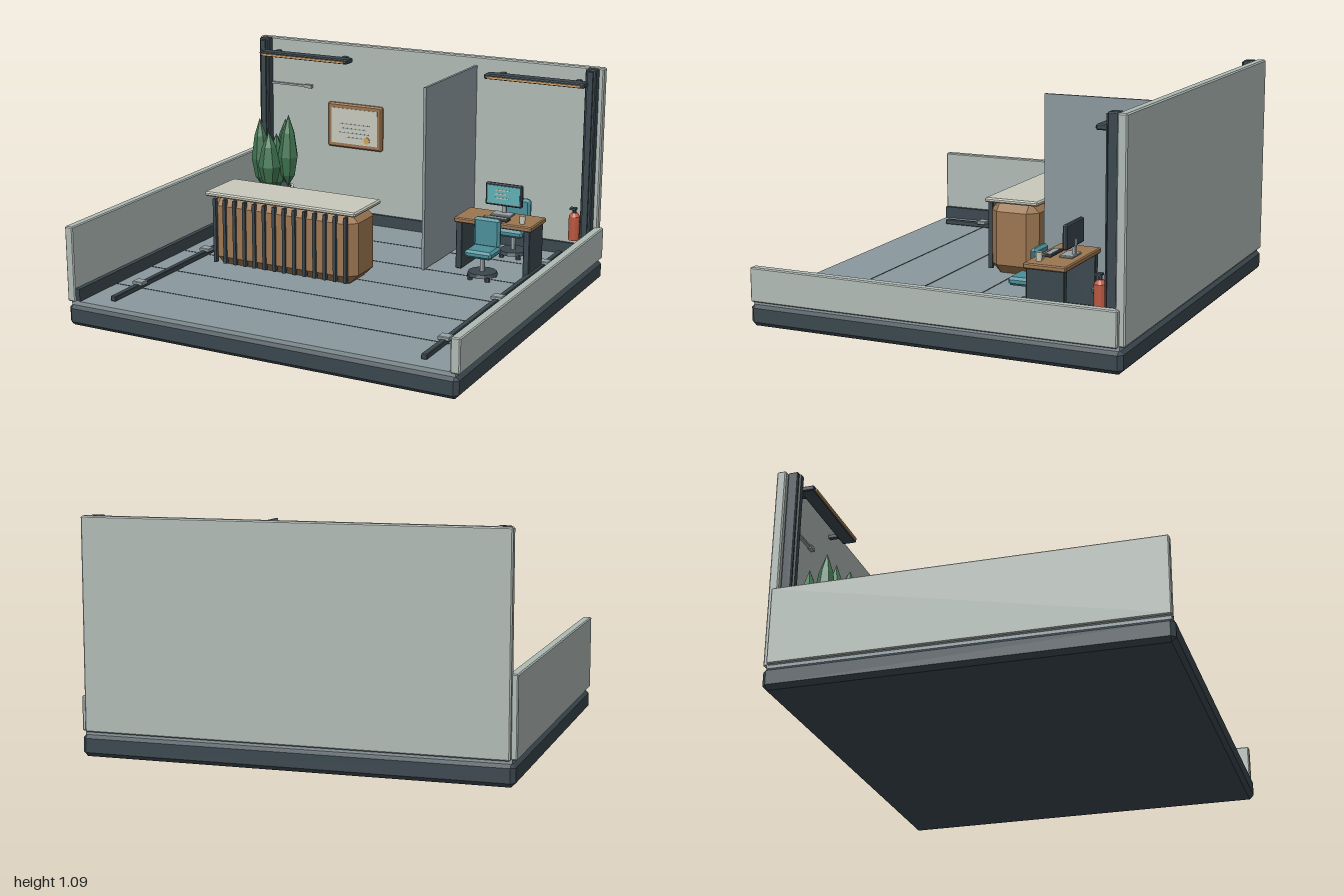
import * as THREE from 'three';
import { ConvexGeometry } from 'three/addons/geometries/ConvexGeometry.js';

const COLORS = {
  wall: 0xb0bab5, floor: 0x8a989d, dark: 0x3a474e, wood: 0x9c7650, cream: 0xc8c9bc,
  teal: 0x4b8f9a, screen: 0x5fb0b4, green: 0x3f7350, red: 0xb9573f, warm: 0xd0a068,
  metal: 0x98a3a7, gold: 0xc9a45a,
};
const materials = {};
for (const key in COLORS) {
  materials[key] = new THREE.MeshStandardMaterial({ color: COLORS[key], flatShading: true });
}

// Box with every edge cut at 45 degrees
function chamferBox(w, h, d, c) {
  const points = [];
  for (const sx of [-1, 1]) for (const sy of [-1, 1]) for (const sz of [-1, 1]) {
    for (let axis = 0; axis < 3; axis++) {
      const [x, y, z] = [0, 1, 2].map((i) => (i === axis ? 0 : c));
      points.push(new THREE.Vector3(sx * (w / 2 - x), sy * (h / 2 - y), sz * (d / 2 - z)));
    }
  }
  return new ConvexGeometry(points);
}

function add(parent, name, geometry, color, x = 0, y = 0, z = 0) {
  const mesh = new THREE.Mesh(geometry, materials[color]);
  mesh.name = name;
  mesh.position.set(x, y, z);
  parent.add(mesh);
  return mesh;
}

// Box given by its limits on each axis
function box(parent, name, color, [x0, x1], [y0, y1], [z0, z1], chamfer = 0) {
  const size = [x1 - x0, y1 - y0, z1 - z0];
  const geometry = chamfer ? chamferBox(...size, chamfer) : new THREE.BoxGeometry(...size);
  return add(parent, name, geometry, color, (x0 + x1) / 2, (y0 + y1) / 2, (z0 + z1) / 2);
}

function cylinder(parent, name, color, r0, r1, y0, y1, x, z, sides = 12) {
  return add(parent, name, new THREE.CylinderGeometry(r1, r0, y1 - y0, sides), color, x, (y0 + y1) / 2, z);
}

function group(parent, name) {
  const g = new THREE.Group();
  g.name = name;
  parent.add(g);
  return g;
}

function buildRoom(root) {
  const room = group(root, 'room');
  box(room, 'base', 'dark', [-0.99, 0.99], [0, 0.105], [-0.9, 0.9], 0.02);
  box(room, 'floor', 'floor', [-0.975, 0.975], [0.1, 0.12], [-0.885, 0.885]);
  for (let i = -2; i <= 2; i++) {
    box(room, 'floorJoint', 'dark', [-0.93, 0.93], [0.118, 0.1215], [i * 0.295 - 0.003, i * 0.295 + 0.003]);
  }
  box(room, 'backWall', 'wall', [-0.97, 0.97], [0.115, 1.085], [-0.905, -0.86], 0.006);
  box(room, 'leftSideWall', 'wall', [0.95, 0.995], [0.115, 0.275], [-0.88, 0.89], 0.005);
  box(room, 'rightSideWall', 'wall', [-0.995, -0.953], [0.115, 0.478], [-0.88, 0.89], 0.005);
  box(room, 'backSkirting', 'dark', [-0.9, 0.9], [0.12, 0.18], [-0.86, -0.845]);
  box(room, 'sideSkirting', 'dark', [-0.955, -0.93], [0.12, 0.18], [-0.86, 0.885]);
  box(room, 'partition', 'floor', [0.286, 0.3], [0.13, 1.04], [-0.86, -0.25]);

  for (const s of [-1, 1]) {
    // Corner posts with a raised rib
    box(room, 'post', 'dark', [s * 0.92 - 0.028, s * 0.92 + 0.028], [0.12, 1.085], [-0.86, -0.81], 0.005);
    box(room, 'postRib', 'dark', [s * 0.92 - 0.014, s * 0.92 + 0.014], [0.12, 1.075], [-0.82, -0.8]);

    // Wall lamps
    const x = s * 0.648;
    box(room, 'lamp', 'dark', [x - 0.263, x + 0.263], [1.0, 1.025], [-0.815, -0.745], 0.005);
    box(room, 'lampStrip', 'warm', [x - 0.245, x + 0.245], [1.004, 1.014], [-0.8, -0.738]);
    for (const e of [-0.2, 0.2]) {
      box(room, 'lampArm', 'dark', [x + e - 0.012, x + e + 0.012], [1.005, 1.02], [-0.86, -0.81]);
    }

    // Floor rails with clamps
    const rx = s * 0.795;
    box(room, 'floorRail', 'dark', [rx - 0.014, rx + 0.014], [0.12, 0.145], [-0.81, 0.81], 0.003);
    for (const z of [-0.59, 0, 0.59]) {
      box(room, 'railClamp', 'metal', [rx - 0.028, rx + 0.028], [0.138, 0.157], [z - 0.025, z + 0.025], 0.003);
    }
  }

  // Wall rod
  box(room, 'wallRod', 'metal', [-0.91, -0.68], [0.834, 0.844], [-0.86, -0.845]);
  box(room, 'wallRodTip', 'metal', [-0.69, -0.65], [0.83, 0.848], [-0.86, -0.84]);
}

function buildCertificate(root) {
  const frame = group(root, 'certificate');
  box(frame, 'frame', 'wood', [-0.545, -0.225], [0.53, 0.77], [-0.862, -0.832], 0.008);
  box(frame, 'paper', 'cream', [-0.52, -0.25], [0.555, 0.745], [-0.84, -0.829]);
  [0.09, 0.075, 0.085, 0.05].forEach((half, i) => {
    const y = 0.66 - i * 0.024;
    box(frame, 'ruledLine', 'metal', [-0.385 - half, -0.385 + half], [y, y + 0.004], [-0.83, -0.827]);
  });
  const seal = cylinder(frame, 'seal', 'gold', 0.018, 0.018, 0.58, 0.586, -0.31, -0.828);
  seal.rotation.x = Math.PI / 2;
}

function buildCounter(root) {
  const counter = group(root, 'receptionCounter');
  box(counter, 'counterBody', 'wood', [-0.69, 0.11], [0.122, 0.478], [-0.12, 0.13], 0.048);
  box(counter, 'counterTop', 'cream', [-0.712, 0.12], [0.472, 0.495], [-0.137, 0.14], 0.007);
  for (let i = 0; i < 14; i++) {
    const x = -0.655 + i * 0.0555;
    box(counter, 'slatGap', 'dark', [x - 0.008, x + 0.008], [0.14, 0.465], [0.12, 0.141]);
  }
}

function buildPlant(root) {
  const plant = group(root, 'plant');
  const [px, pz] = [-0.787, -0.7];
  // Fluted pot
  cylinder(plant, 'pot', 'cream', 0.082, 0.094, 0.12, 0.31, px, pz, 16);
  for (let i = 0; i < 16; i++) {
    const a = (i / 16) * Math.PI * 2;
    cylinder(plant, 'potFlute', 'cream', 0.009, 0.009, 0.125, 0.305, px + Math.sin(a) * 0.086, pz + Math.cos(a) * 0.086, 6);
  }
  cylinder(plant, 'soil', 'dark', 0.08, 0.08, 0.3, 0.314, px, pz, 16);

  // Faceted leaves: x, z, bottom, top, radius
  const profile = [[0, 0], [0.7, 0.16], [1, 0.42], [0.62, 0.75], [0, 1]];
  const leaves = [
    [-0.862, -0.68, 0.3, 0.68, 0.053], [-0.777, -0.615, 0.31, 0.63, 0.062],
    [-0.71, -0.69, 0.32, 0.71, 0.055], [-0.785, -0.785, 0.3, 0.66, 0.055],
    [-0.785, -0.7, 0.29, 0.6, 0.055],
  ];
  leaves.forEach(([x, z, y0, y1, r], i) => {
    const points = profile.map(([pr, py]) => new THREE.Vector2(pr * r, py * (y1 - y0)));
    const leaf = add(plant, 'leaf', new THREE.LatheGeometry(points, 7), 'green', x, y0, z);
    leaf.rotation.set((z - pz) * 0.4, i * 0.8, (px - x) * 0.4);
  });
}

function buildDesk(root) {
  const desk = group(root, 'desk');
  box(desk, 'deskTop', 'wood', [0.4, 0.805], [0.358, 0.383], [-0.572, -0.37], 0.005);
  for (const x of [0.425, 0.778]) {
    box(desk, 'deskLeg', 'dark', [x - 0.016, x + 0.016], [0.12, 0.36], [-0.56, -0.382], 0.003);
  }
  box(desk, 'monitorFoot', 'metal', [0.55, 0.655], [0.383, 0.394], [-0.54, -0.475], 0.003);
  box(desk, 'monitorNeck', 'metal', [0.592, 0.614], [0.39, 0.46], [-0.533, -0.519]);
  box(desk, 'monitor', 'dark', [0.507, 0.699], [0.428, 0.54], [-0.533, -0.51], 0.005);
  box(desk, 'screen', 'screen', [0.518, 0.688], [0.439, 0.529], [-0.515, -0.508]);
  [0.05, 0.035, 0.045].forEach((w, i) => {
    const y = 0.505 - i * 0.02;
    box(desk, 'screenBar', 'cream', [0.56, 0.56 + w * 1.6], [y, y + 0.005], [-0.51, -0.506]);
  });
  box(desk, 'keyboard', 'dark', [0.533, 0.67], [0.383, 0.394], [-0.446, -0.4], 0.003);
  box(desk, 'keyBed', 'metal', [0.545, 0.658], [0.39, 0.396], [-0.437, -0.409]);

  // Mug
  cylinder(desk, 'mug', 'cream', 0.013, 0.015, 0.383, 0.422, 0.74, -0.42);
  add(desk, 'mugHandle', new THREE.TorusGeometry(0.01, 0.003, 5, 10), 'cream', 0.74, 0.403, -0.435).rotation.y = Math.PI / 2;
}

function buildChair(root, x, z) {
  const chair = group(root, 'chair');
  chair.position.set(x, 0, z);
  cylinder(chair, 'chairBase', 'dark', 0.076, 0.07, 0.138, 0.155, 0, 0, 12);
  for (const s of [-1, 1]) for (const t of [-1, 1]) {
    cylinder(chair, 'glide', 'dark', 0.014, 0.014, 0.12, 0.142, s * 0.045, t * 0.045, 8);
  }
  cylinder(chair, 'chairPost', 'metal', 0.012, 0.012, 0.15, 0.24, 0, 0, 10);
  box(chair, 'seat', 'teal', [-0.07, 0.07], [0.233, 0.272], [-0.065, 0.07], 0.012);
  box(chair, 'backrest', 'teal', [-0.068, 0.068], [0.262, 0.41], [-0.07, -0.036], 0.012);
  box(chair, 'backSupport', 'dark', [-0.015, 0.015], [0.24, 0.34], [-0.076, -0.062]);
}

function buildExtinguisher(root) {
  const ext = group(root, 'fireExtinguisher');
  const [x, z] = [0.882, -0.76];
  cylinder(ext, 'tank', 'red', 0.028, 0.028, 0.23, 0.352, x, z, 12);
  cylinder(ext, 'tankShoulder', 'red', 0.028, 0.014, 0.352, 0.37, x, z, 12);
  cylinder(ext, 'valve', 'dark', 0.01, 0.01, 0.37, 0.392, x, z, 8);
  box(ext, 'lever', 'dark', [x - 0.02, x + 0.012], [0.386, 0.396], [z - 0.008, z + 0.022]);
  box(ext, 'wallBracket', 'dark', [x - 0.01, x + 0.01], [0.27, 0.32], [-0.81, z - 0.02]);
}

export function createModel() {
  const root = new THREE.Group();
  root.name = 'receptionOffice';
  buildRoom(root);
  buildCertificate(root);
  buildCounter(root);
  buildPlant(root);
  buildDesk(root);
  buildChair(root, 0.588, -0.3);
  buildChair(root, 0.588, -0.695);
  buildExtinguisher(root);
  return root;
}
